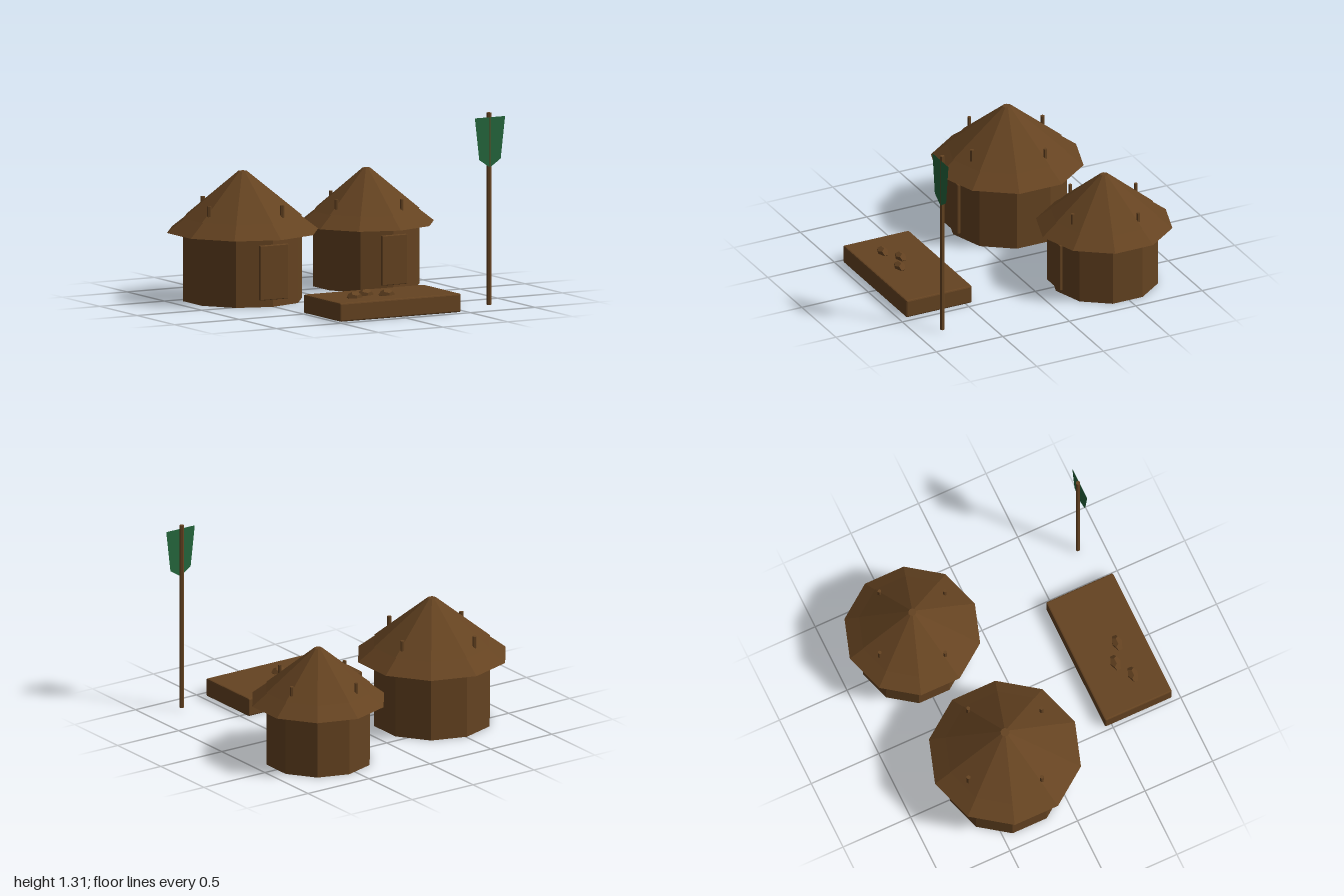
import * as THREE from 'three';
import { RoundedBoxGeometry } from 'three/addons/geometries/RoundedBoxGeometry.js';

const brown = new THREE.MeshStandardMaterial({ color: 0x654321, flatShading: true });
brown.name = 'brown wood and thatch';
const green = new THREE.MeshStandardMaterial({ color: 0x24663c, flatShading: true, side: THREE.DoubleSide });
green.name = 'green cloth';

function part(parent, name, geometry, x, y, z, material = brown) {
  const mesh = new THREE.Mesh(geometry, material);
  mesh.name = name;
  mesh.position.set(x, y, z);
  parent.add(mesh);
  return mesh;
}

// Ten-sided tapered drum between two heights
function drum(parent, name, rTop, rBottom, y0, y1) {
  return part(parent, name, new THREE.CylinderGeometry(rTop, rBottom, y1 - y0, 10), 0, (y0 + y1) / 2, 0);
}

function makeHut(name, x, z, width, height) {
  const hut = new THREE.Group();
  hut.name = name;
  drum(hut, 'wall', 0.407, 0.407, 0, 0.48);
  drum(hut, 'roofEave', 0.385, 0.518, 0.465, 0.568);
  drum(hut, 'roofCone', 0.03, 0.407, 0.56, 0.87);

  // Door slab standing just proud of the front corner of the wall
  part(hut, 'door', new RoundedBoxGeometry(0.22, 0.37, 0.025, 1, 0.005), 0, 0.237, 0.417);

  // Four pegs poking through the thatch
  for (let i = 0; i < 4; i++) {
    const a = 0.35 + (i * Math.PI) / 2;
    part(hut, 'roofPeg', new THREE.CylinderGeometry(0.0145, 0.0145, 0.115, 6),
      0.347 * Math.sin(a), 0.61, 0.347 * Math.cos(a));
  }
  hut.position.set(x, 0, z);
  hut.scale.set(width, height, width);
  return hut;
}

export function createModel() {
  const model = new THREE.Group();
  model.name = 'village';
  model.add(makeHut('largeHut', -0.508, -0.305, 1, 1));
  model.add(makeHut('smallHut', 0.556, -0.49, 0.893, 0.911));

  // Low platform with three stones
  part(model, 'platform', new RoundedBoxGeometry(0.934, 0.126, 0.495, 1, 0.01), -0.008, 0.063, 0.7);
  for (const [x, z] of [[-0.257, 0.76], [-0.132, 0.69], [-0.008, 0.76]]) {
    part(model, 'stone', new THREE.DodecahedronGeometry(1), x, 0.131, z).scale.set(0.059, 0.037, 0.0375);
  }

  // Pole with a pointed banner on its front
  part(model, 'pole', new THREE.CylinderGeometry(0.0155, 0.0155, 1.3, 6), 0.745, 0.665, 0.825);
  const cloth = new THREE.Shape([[-0.117, 1.285], [-0.083, 1.0], [0, 0.945], [0.083, 1.0], [0.117, 1.285]]
    .map(([x, y]) => new THREE.Vector2(x, y)));
  part(model, 'banner', new THREE.ShapeGeometry(cloth), 0.745, 0, 0.8385, green);
  return model;
}
